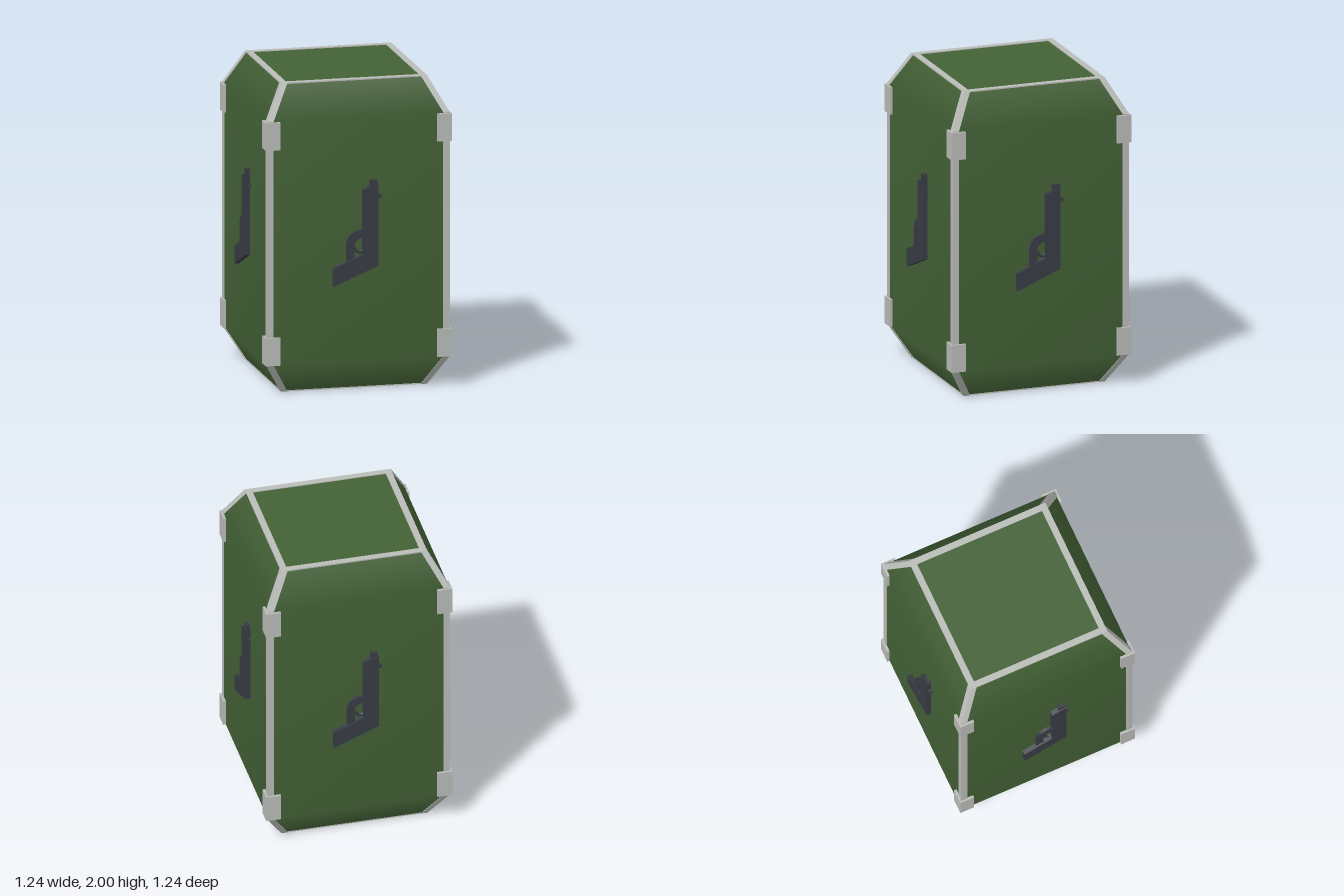
import * as THREE from 'three';

const mat = (name, color) => new THREE.MeshStandardMaterial({ name, color });

// Surface through rows of points, wound so it faces outward
function loft(rows, smooth) {
  const n = rows[0].length, index = [];
  for (let j = 0; j < rows.length - 1; j++) {
    for (let i = 0; i < n - 1; i++) {
      const a = j * n + i, b = a + 1, c = b + n, d = a + n;
      index.push(a, b, c, a, c, d);
    }
  }
  let g = new THREE.BufferGeometry();
  g.setAttribute('position', new THREE.Float32BufferAttribute(rows.flat(2), 3));
  g.setIndex(index);
  if (!smooth) g = g.toNonIndexed();
  g.computeVertexNormals();
  return g;
}

function polygon(points) {
  return new THREE.Shape(points.map(([x, y]) => new THREE.Vector2(x, y)));
}

export function createModel() {
  const green = mat('crate green', 0x436136);
  const grey = mat('trim grey', 0xbabcb8);
  const dark = mat('gunmetal', 0x383c44);

  const model = new THREE.Group();
  model.name = 'supplyCrate';
  const crate = new THREE.Group();
  crate.name = 'crate';
  crate.position.z = -0.006;
  model.add(crate);

  const add = (parent, name, geometry, material, x = 0, y = 0, z = 0) => {
    const m = new THREE.Mesh(geometry, material);
    m.name = name;
    m.position.set(x, y, z);
    parent.add(m);
    return m;
  };
  const extrude = (shape, depth) => new THREE.ExtrudeGeometry(shape, { depth, bevelEnabled: false, curveSegments: 10 });

  // Height and half-width of the tapered outline
  const profile = [[0, 0.475], [0.2, 0.594], [1.78, 0.594], [2, 0.475]];
  const inset = 0.005, strip = 0.042;

  const panelGeo = loft(profile.map(([y, s]) => {
    const h = s - inset;
    return [[-h, y, h], [h, y, h]];
  }), true);

  // Angled strip wrapping a corner
  const stripGeo = loft(profile.map(([y, s]) => {
    const w = s - strip, e = s - inset - 0.004;
    return [[w, y, e], [w, y, s], [s, y, s], [s, y, w], [e, y, w]];
  }), false);

  // L-shaped corner clip
  const o = 0.606, i = 0.51, t = 0.58;
  const clipGeo = extrude(polygon([[i, -o], [o, -o], [o, -i], [t, -i], [t, -t], [i, -t]]), 0.18);
  clipGeo.rotateX(-Math.PI / 2);

  // Pistol emblem
  const gunGeo = extrude(polygon([
    [-0.168, 0.695], [0.123, 0.815], [0.123, 1.352], [0.025, 1.312], [0.025, 0.892], [-0.168, 0.812],
  ]), 0.04);
  const guard = new THREE.Shape();
  guard.moveTo(-0.08, 0.83);
  guard.lineTo(-0.03, 0.85);
  guard.lineTo(-0.03, 0.945);
  guard.quadraticCurveTo(-0.025, 1.0, 0.03, 1.0);
  guard.lineTo(0.03, 1.052);
  guard.quadraticCurveTo(-0.08, 1.05, -0.08, 0.945);
  guard.closePath();
  const guardGeo = extrude(guard, 0.025);
  const triggerGeo = new THREE.TubeGeometry(new THREE.QuadraticBezierCurve3(
    new THREE.Vector3(-0.025, 0.94, 0), new THREE.Vector3(-0.01, 0.885, 0), new THREE.Vector3(0.03, 0.915, 0),
  ), 8, 0.009, 6);

  // Four identical sides around the crate
  for (let k = 0; k < 4; k++) {
    const side = new THREE.Group();
    side.name = 'side' + (k + 1);
    side.rotation.y = k * Math.PI / 2;
    crate.add(side);
    add(side, 'panel', panelGeo, green);
    add(side, 'cornerStrip', stripGeo, grey);
    add(side, 'lowerClip', clipGeo, grey, 0, 0.2, 0);
    add(side, 'upperClip', clipGeo, grey, 0, 1.595, 0);

    const gun = new THREE.Group();
    gun.name = 'pistolEmblem';
    side.add(gun);
    add(gun, 'barrelAndGrip', gunGeo, dark, 0, 0, 0.58);
    add(gun, 'triggerGuard', guardGeo, dark, 0, 0, 0.583);
    add(gun, 'trigger', triggerGeo, dark, 0, 0, 0.594);
    add(gun, 'sight', new THREE.BoxGeometry(0.046, 0.05, 0.03), dark, 0.097, 1.347, 0.598);
    add(gun, 'stud', new THREE.BoxGeometry(0.03, 0.026, 0.025), dark, 0.13, 1.263, 0.598);
  }

  // Top and bottom plates, each with a grey border frame
  const h = 0.475, q = h - strip;
  const frame = polygon([[-h, -h], [h, -h], [h, h], [-h, h]]);
  frame.holes.push(polygon([[-q, -q], [-q, q], [q, q], [q, -q]]));
  const frameGeo = extrude(frame, 0.008).rotateX(-Math.PI / 2);
  const plateGeo = new THREE.PlaneGeometry(2 * h - 0.005, 2 * h - 0.005);
  add(crate, 'topFrame', frameGeo, grey, 0, 1.992, 0);
  add(crate, 'bottomFrame', frameGeo, grey, 0, 0, 0);
  add(crate, 'topPlate', plateGeo, green, 0, 1.995, 0).rotation.x = -Math.PI / 2;
  add(crate, 'bottomPlate', plateGeo, green, 0, 0.005, 0).rotation.x = Math.PI / 2;

  return model;
}
